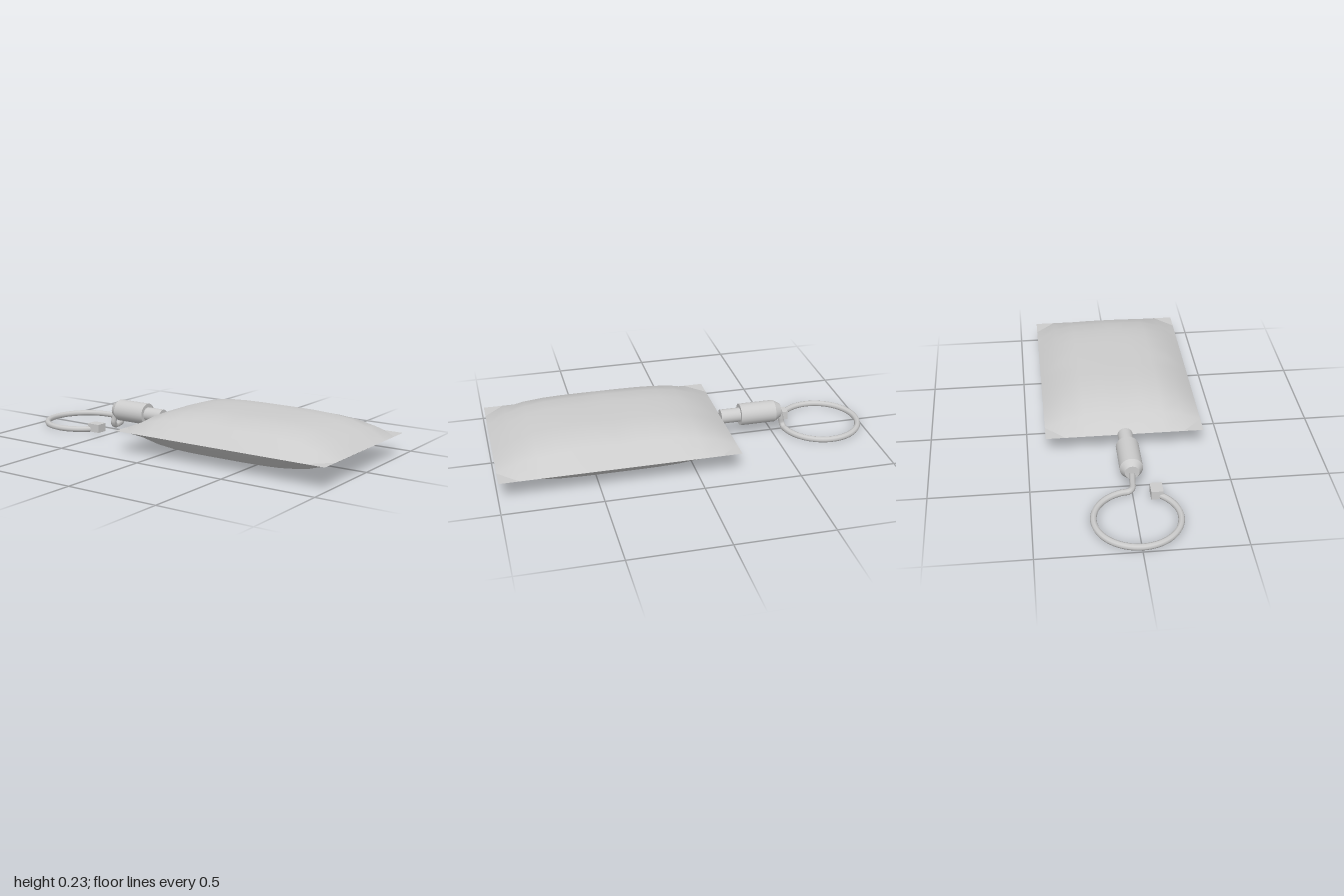
import * as THREE from 'three';

const MID = 0.115; // height of the cushion seam and the connector axis

// One puffed half of the cushion; side is +1 for the top, -1 for the bottom.
function cushionHalf(side) {
  const nx = 12, nz = 8, hx = 0.606, hz = 0.405, puff = 0.113;
  const pos = [], smooth = [], flat = [];
  for (let i = 0; i <= nx; i++) {
    for (let j = 0; j <= nz; j++) {
      const u = 2 * i / nx - 1, v = 2 * j / nz - 1;
      pos.push(u * hx, side * puff * (1 - u ** 4) * (1 - v ** 4), v * hz);
    }
  }
  const add = (a, b, c) => {
    const onRim = [a, b, c].every(k => Math.abs(pos[3 * k + 1]) < 1e-6);
    (onRim ? flat : smooth).push(...(side > 0 ? [a, b, c] : [a, c, b]));
  };
  for (let i = 0; i < nx; i++) {
    for (let j = 0; j < nz; j++) {
      const a = i * (nz + 1) + j, b = a + 1, d = a + nz + 1, c = d + 1;
      // diagonals cut across the cushion's corners
      if ((i < nx / 2) === (j < nz / 2)) { add(a, b, d); add(b, c, d); }
      else { add(a, b, c); add(a, c, d); }
    }
  }
  const make = index => {
    const g = new THREE.BufferGeometry();
    g.setAttribute('position', new THREE.Float32BufferAttribute(pos, 3));
    g.setIndex(index);
    g.computeVertexNormals();
    return g;
  };
  return [make(smooth), make(flat).toNonIndexed()];
}

export function createModel() {
  const model = new THREE.Group();
  const grey = new THREE.MeshStandardMaterial({ color: 0xcccccc });
  grey.name = 'lightGrey';

  const add = (name, geometry, x = 0, y = 0, z = 0) => {
    const mesh = new THREE.Mesh(geometry, grey);
    mesh.name = name;
    mesh.position.set(x, y, z);
    model.add(mesh);
  };

  // Cushion with flat corner tips
  for (const [side, label] of [[1, 'Top'], [-1, 'Bottom']]) {
    const [body, corners] = cushionHalf(side);
    corners.computeVertexNormals();
    add('cushion' + label, body, 0.389, MID);
    add('cushionCorners' + label, corners, 0.389, MID);
  }

  // Connector: round sections along x, from x0 (radius r0) to x1 (radius r1)
  const section = (name, x0, x1, r0, r1) => {
    const g = new THREE.CylinderGeometry(r1, r0, x1 - x0, 24).rotateZ(-Math.PI / 2);
    add(name, g, (x0 + x1) / 2, MID);
  };
  section('connectorTip', -0.545, -0.51, 0.036, 0.058);
  section('connectorBarrel', -0.51, -0.32, 0.058, 0.058);
  section('connectorNeck', -0.32, -0.215, 0.038, 0.038);

  // Open wire ring whose end bends up into the connector
  const path = [];
  for (let k = 0; k <= 40; k++) {
    const t = THREE.MathUtils.degToRad(35 + k * 8);
    path.push(new THREE.Vector3(-0.775 + 0.209 * Math.cos(t), 0.018, 0.209 * Math.sin(t)));
  }
  path.push(new THREE.Vector3(-0.562, 0.035, 0), new THREE.Vector3(-0.553, 0.075, 0),
    new THREE.Vector3(-0.543, 0.115, 0));
  add('ring', new THREE.TubeGeometry(new THREE.CatmullRomCurve3(path), 90, 0.016, 8));

  // Clasp block on the free end of the ring
  add('clasp', new THREE.BoxGeometry(0.075, 0.045, 0.06), -0.588, 0.028, 0.115);

  return model;
}
